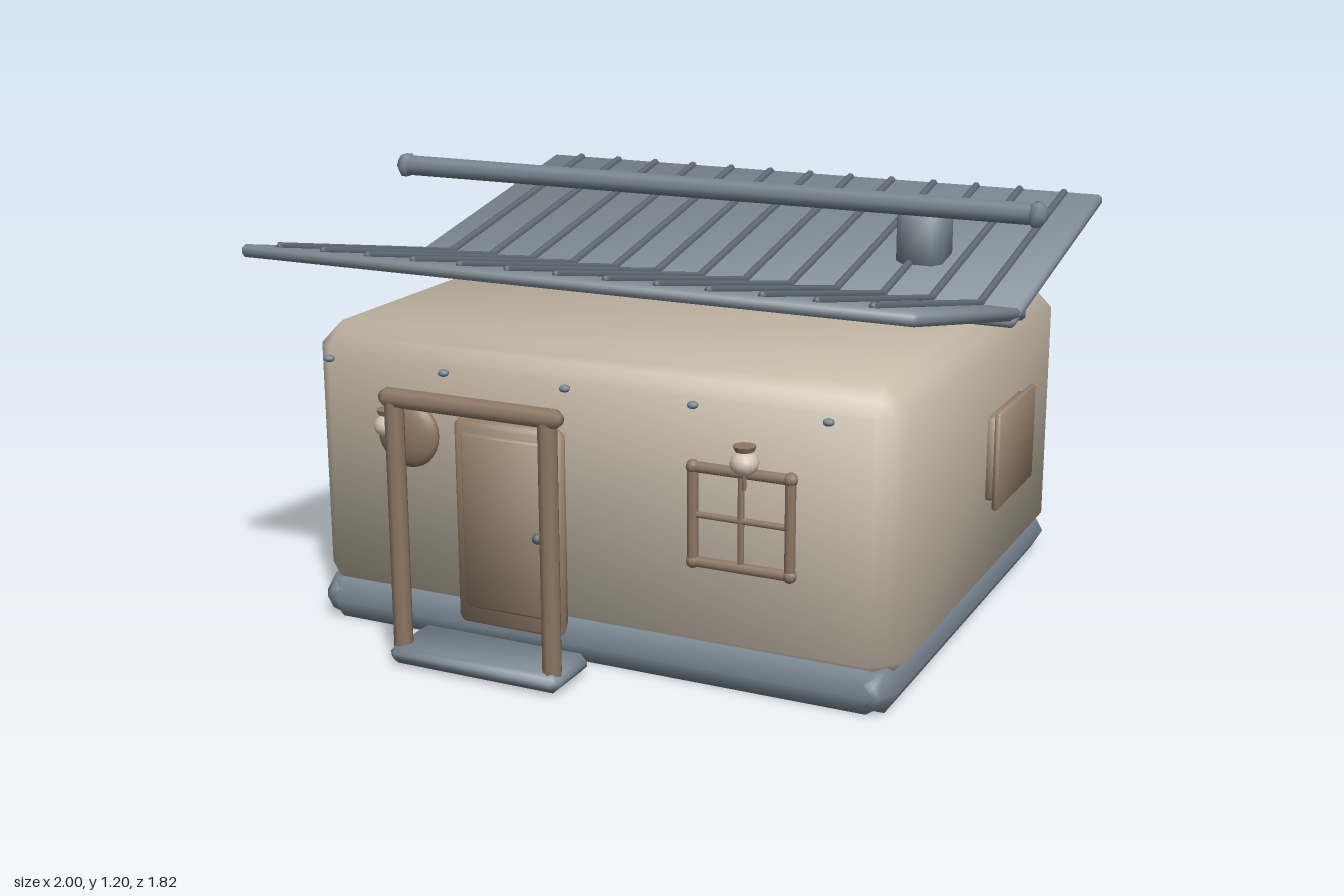
import * as THREE from 'three';

const material = (name, color) => {
  const m = new THREE.MeshStandardMaterial({ color });
  m.name = name;
  return m;
};

// Box with 45 degree chamfers of size c and soft shading across its faces
function chamferBox(w, h, d, c) {
  const g = new THREE.BoxGeometry(1, 1, 1, 3, 3, 3);
  const half = [w / 2, h / 2, d / 2];
  const cut = [0, 0, c / 2, c * 2 / 3];
  const lean = [0, 0.43, 0.6, 1];
  const { position, normal } = g.attributes;
  for (let i = 0; i < position.count; i++) {
    const p = [position.getX(i), position.getY(i), position.getZ(i)];
    const isOuter = v => Math.abs(v) > 0.4;
    const n = p.filter(isOuter).length; // 1 face, 2 edge, 3 corner
    position.setXYZ(i, ...p.map((v, k) => Math.sign(v) * (half[k] - (isOuter(v) ? cut[n] : c))));
    const dir = new THREE.Vector3(...p.map(v => Math.sign(v) * (isOuter(v) ? 1 : lean[n]))).normalize();
    normal.setXYZ(i, dir.x, dir.y, dir.z);
  }
  return g;
}

// Pole along an axis with chamfered ends; length includes the ends
function pole(axis, length, r, sides = 8, chamfer = r * 0.7) {
  const h = length / 2;
  const profile = [[0, -h], [r * 0.5, -h], [r, chamfer - h], [r, h - chamfer], [r * 0.5, h], [0, h]];
  const g = new THREE.LatheGeometry(profile.map(p => new THREE.Vector2(...p)), sides);
  if (axis === 'x') g.rotateZ(Math.PI / 2);
  if (axis === 'z') g.rotateX(Math.PI / 2).rotateZ(Math.PI / 2);
  return g;
}

export function createModel() {
  const plaster = material('plaster', 0xc4b8a6);
  const slate = material('slate', 0x788691);
  const sheet = material('roofSheet', 0x828d96);
  const trim = material('darkTrim', 0x626c76);
  const timber = material('timber', 0x8d7864);
  const panelWood = material('panelWood', 0x9c8772);
  const cream = material('lanternCream', 0xcfc4b2);

  const house = new THREE.Group();
  house.name = 'cottage';
  const MID = -0.042; // depth of the building's centre line

  const add = (name, geometry, mat, pos, parent = house) => {
    const mesh = new THREE.Mesh(geometry, mat);
    mesh.name = name;
    mesh.position.set(...pos);
    parent.add(mesh);
    return mesh;
  };

  // Walls
  add('walls', chamferBox(1.72, 0.785, 1.41, 0.07), plaster, [0, 0.4525, MID]);

  // Foundation logs
  for (const s of [-1, 1]) {
    add('foundationLogAcross', pole('x', 1.66, 0.066, 6), slate, [0, 0.058, MID + s * 0.67]);
    add('foundationLogAlong', pole('z', 1.44, 0.066, 6), slate, [s * 0.79, 0.058, MID]);
  }

  // Roof: two ribbed sheets falling towards the middle
  for (const s of [-1, 1]) {
    const slope = new THREE.Group();
    slope.name = s > 0 ? 'frontRoofSlope' : 'backRoofSlope';
    slope.position.set(0, 0.977, MID + s * 0.403);
    slope.rotation.x = -s * 0.198;
    house.add(slope);
    add('roofSheet', chamferBox(1.885, 0.034, 0.945, 0.01), sheet, [0, 0, 0], slope);
    for (let i = -6; i <= 6; i++) {
      add('roofRib', pole('z', 0.925, 0.012, 6), trim, [i * 0.138, 0.02, 0], slope);
    }
  }

  // Ridge pole with thicker ends
  add('ridgePole', pole('x', 1.97, 0.03), slate, [0, 1.17, MID]);
  for (const s of [-1, 1]) {
    add('ridgeEnd', pole('x', 0.05, 0.037, 6, 0.016), slate, [s * 0.975, 1.17, MID]);
  }
  add('chimney', chamferBox(0.138, 0.188, 0.138, 0.025), slate, [0.575, 1.03, -0.325]);

  // Pegs under both eaves
  for (const z of [0.77, -0.855]) {
    for (let i = -2; i <= 2; i++) {
      add('eavePeg', new THREE.SphereGeometry(0.015, 8, 6), slate, [i * 0.356, 0.786, z]).scale.y = 0.65;
    }
  }

  // Front door with raised panel and knob
  add('frontDoor', chamferBox(0.325, 0.585, 0.055, 0.02), panelWood, [-0.222, 0.352, 0.673]);
  add('frontDoorPanel', chamferBox(0.255, 0.49, 0.03, 0.008), panelWood, [-0.222, 0.365, 0.7]);
  add('doorKnob', new THREE.SphereGeometry(0.015, 10, 8), trim, [-0.11, 0.355, 0.731]);

  // Back door
  add('backDoor', chamferBox(0.27, 0.54, 0.036, 0.012), panelWood, [0.645, 0.34, -0.786]);

  // Porch frame and step
  for (const x of [-0.446, 0.004]) {
    add('porchPost', pole('y', 0.71, 0.026), timber, [x, 0.385, 0.87]);
  }
  add('porchBeam', pole('x', 0.53, 0.027), timber, [-0.22, 0.735, 0.87]);
  add('porchStep', chamferBox(0.51, 0.052, 0.19, 0.02), slate, [-0.218, 0.033, 0.816]);

  // Barred windows with knobbed corners
  const barredWindow = (name, x, z, crossBar) => {
    const w = new THREE.Group();
    w.name = name;
    w.position.set(x, 0.475, z);
    house.add(w);
    for (const s of [-1, 1]) {
      add('frameSide', pole('y', 0.27, 0.015), timber, [s * 0.133, 0, 0], w);
      add('frameRail', pole('x', 0.28, 0.015), timber, [0, s * 0.126, 0], w);
      for (const t of [-1, 1]) {
        add('cornerKnob', new THREE.SphereGeometry(0.019, 8, 6), timber, [s * 0.133, t * 0.126, 0], w);
      }
    }
    add('uprightBar', pole('y', 0.26, 0.009), timber, [0, 0, 0], w);
    if (crossBar) add('crossBar', pole('x', 0.27, 0.009), timber, [0, 0, 0], w);
  };
  barredWindow('frontWindow', 0.452, 0.69, true);
  barredWindow('backWindowLeft', 0.46, -0.785, false);
  barredWindow('backWindowRight', -0.22, -0.785, false);

  // Side shutters
  for (const s of [-1, 1]) {
    add('shutterBacking', chamferBox(0.04, 0.24, 0.31, 0.01), panelWood, [s * 0.868, 0.476, -0.215]);
    add('shutter', chamferBox(0.018, 0.278, 0.35, 0.005), panelWood, [s * 0.893, 0.476, -0.215]);
  }

  // Round wall shield beside the door
  add('wallShield', new THREE.SphereGeometry(0.094, 20, 14), timber, [-0.523, 0.58, 0.69]).scale.z = 0.38;

  // Lanterns
  const lantern = (x, z) => {
    const l = new THREE.Group();
    l.name = 'lantern';
    l.position.set(x, 0.645, z);
    house.add(l);
    add('lanternGlobe', new THREE.SphereGeometry(0.037, 12, 8), cream, [0, 0, 0], l).scale.y = 0.85;
    add('lanternCap', new THREE.CylinderGeometry(0.03, 0.024, 0.014, 10), timber, [0, 0.038, 0], l);
    add('lanternStem', new THREE.CylinderGeometry(0.005, 0.005, 0.05, 6), timber, [0, -0.045, 0], l);
  };
  lantern(-0.49, 0.835);
  lantern(0.482, 0.74);

  return house;
}
